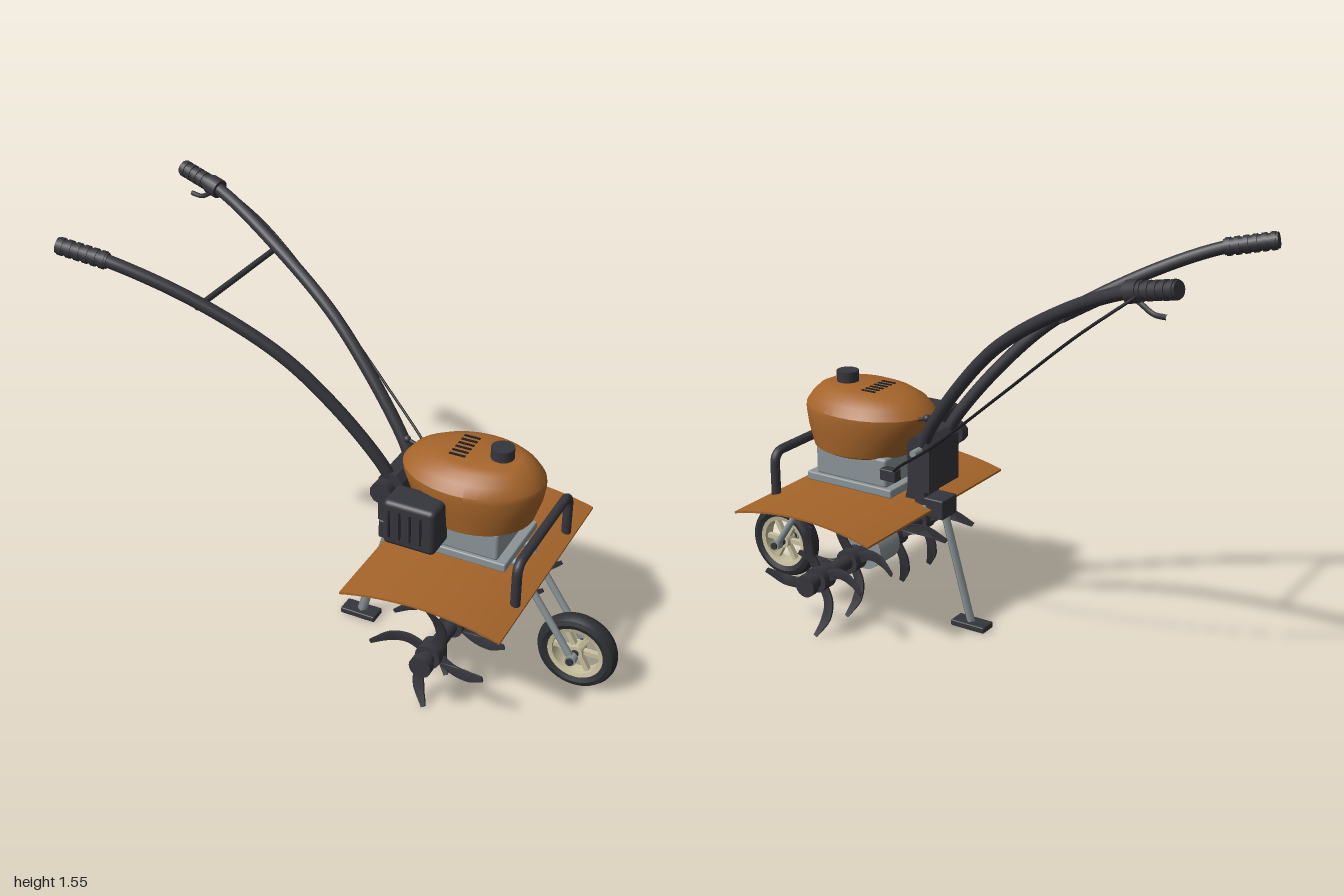
import * as THREE from 'three';
import { RoundedBoxGeometry } from 'three/addons/geometries/RoundedBoxGeometry.js';
import { toCreasedNormals } from 'three/addons/utils/BufferGeometryUtils.js';

const V = (x, y, z) => new THREE.Vector3(x, y, z);

export function createModel() {
  const model = new THREE.Group();
  model.name = 'gardenTiller';

  const mat = (name, color, side = THREE.FrontSide) => {
    const m = new THREE.MeshStandardMaterial({ color, side });
    m.name = name;
    return m;
  };
  const orange = mat('orangePaint', 0xa5642a, THREE.DoubleSide);
  const dark = mat('darkPlastic', 0x35353c);
  const black = mat('blackSlots', 0x1f1f23);
  const grey = mat('greyMetal', 0x8b9498);
  const rubber = mat('tyreRubber', 0x2e2f33);
  const cream = mat('creamRim', 0xc9c1a0);

  const add = (name, geo, m, x = 0, y = 0, z = 0, parent = model) => {
    const mesh = new THREE.Mesh(geo, m);
    mesh.name = name;
    mesh.position.set(x, y, z);
    parent.add(mesh);
    return mesh;
  };
  const box = (name, m, x0, x1, y0, y1, z0, z1, r = 0) => {
    const s = [x1 - x0, y1 - y0, z1 - z0];
    const geo = r ? new RoundedBoxGeometry(...s, 3, r) : new THREE.BoxGeometry(...s);
    return add(name, geo, m, (x0 + x1) / 2, (y0 + y1) / 2, (z0 + z1) / 2);
  };
  // Straight rod between two points
  const rod = (name, m, a, b, r, r2 = r, sides = 20) => {
    const mesh = add(name, new THREE.CylinderGeometry(r2, r, a.distanceTo(b), sides), m);
    mesh.position.copy(a).lerp(b, 0.5);
    mesh.quaternion.setFromUnitVectors(V(0, 1, 0), b.clone().sub(a).normalize());
    return mesh;
  };
  const tube = (name, m, pts, r, segs = 48, sides = 14) =>
    add(name, new THREE.TubeGeometry(new THREE.CatmullRomCurve3(pts), segs, r, sides), m);

  // Engine hood: stacked ellipses [y, centre x, x radius, z radius]
  const rings = [
    [0.645, 0.43, 0.19, 0.165], [0.655, 0.43, 0.21, 0.182], [0.73, 0.42, 0.245, 0.192],
    [0.79, 0.413, 0.262, 0.197], [0.81, 0.411, 0.262, 0.195], [0.845, 0.414, 0.235, 0.17],
    [0.872, 0.425, 0.195, 0.137], [0.885, 0.44, 0.15, 0.108],
  ];
  const n = 40, pos = [], idx = [];
  for (const [y, cx, rx, rz] of rings)
    for (let i = 0; i < n; i++) {
      const a = (i / n) * Math.PI * 2;
      pos.push(cx + rx * Math.cos(a), y, rz * Math.sin(a));
    }
  for (let j = 0; j < rings.length - 1; j++)
    for (let i = 0; i < n; i++) {
      const a = j * n + i, b = j * n + (i + 1) % n;
      idx.push(a, a + n, b, b, a + n, b + n);
    }
  const last = (rings.length - 1) * n;
  for (let i = 1; i < n - 1; i++) {
    idx.push(0, i, i + 1);
    idx.push(last, last + i + 1, last + i);
  }
  const hood = new THREE.BufferGeometry();
  hood.setAttribute('position', new THREE.Float32BufferAttribute(pos, 3));
  hood.setIndex(idx);
  add('hood', toCreasedNormals(hood, 0.5), orange);
  for (let i = 0; i < 6; i++) {
    const z = -0.07 + i * 0.026;
    box('hoodVent', black, 0.34, 0.4, 0.88, 0.888, z - 0.005, z + 0.005);
  }
  add('fuelCap', new THREE.CylinderGeometry(0.042, 0.042, 0.05, 28), dark, 0.515, 0.901, 0);

  // Engine block and base plate
  box('engineBlock', grey, 0.25, 0.57, 0.545, 0.66, -0.14, 0.14, 0.012);
  box('enginePlate', grey, 0.22, 0.605, 0.517, 0.55, -0.152, 0.152, 0.006);
  box('engineFoot', grey, 0.28, 0.56, 0.49, 0.52, -0.1, 0.1);

  // Air filter with slotted cover
  box('airFilter', dark, 0.19, 0.39, 0.595, 0.775, 0.155, 0.283, 0.02);
  box('airFilterNeck', dark, 0.24, 0.34, 0.63, 0.72, 0.12, 0.17);
  for (let i = 0; i < 4; i++)
    box('filterSlot', black, 0.215 + i * 0.04, 0.223 + i * 0.04, 0.63, 0.74, 0.28, 0.285);

  // Arched deck
  const deck = new THREE.BoxGeometry(0.606, 0.008, 0.9, 20, 1, 1);
  const dp = deck.attributes.position;
  for (let i = 0; i < dp.count; i++) dp.setY(i, dp.getY(i) - 0.45 * dp.getX(i) ** 2);
  deck.computeVertexNormals();
  add('deck', toCreasedNormals(deck, 0.6), orange, 0.412, 0.501, 0);

  // Front bumper hoop
  const hoop = new THREE.CurvePath();
  const x = 0.685, w = 0.243, t = 0.638, c = 0.05;
  hoop.add(new THREE.LineCurve3(V(x, 0.47, w), V(x, t - c, w)));
  hoop.add(new THREE.QuadraticBezierCurve3(V(x, t - c, w), V(x, t, w), V(x, t, w - c)));
  hoop.add(new THREE.LineCurve3(V(x, t, w - c), V(x, t, c - w)));
  hoop.add(new THREE.QuadraticBezierCurve3(V(x, t, c - w), V(x, t, -w), V(x, t - c, -w)));
  hoop.add(new THREE.LineCurve3(V(x, t - c, -w), V(x, 0.47, -w)));
  add('bumper', new THREE.TubeGeometry(hoop, 90, 0.018, 14), dark);

  // Front wheel
  const wheel = new THREE.Group();
  wheel.name = 'frontWheel';
  wheel.position.set(0.845, 0.155, 0);
  model.add(wheel);
  const lathe = (pts) =>
    toCreasedNormals(new THREE.LatheGeometry(pts.map(p => new THREE.Vector2(...p)), 48).rotateX(Math.PI / 2), 0.7);
  add('tyre', lathe([[0.104, -0.026], [0.125, -0.035], [0.142, -0.029], [0.15, -0.013], [0.152, 0],
    [0.15, 0.013], [0.142, 0.029], [0.125, 0.035], [0.104, 0.026], [0.104, -0.026]]), rubber, 0, 0, 0, wheel);
  add('rim', lathe([[0.09, -0.024], [0.106, -0.028], [0.106, 0.028], [0.09, 0.024], [0.09, -0.024]]), cream, 0, 0, 0, wheel);
  for (let i = 0; i < 6; i++) {
    const a = i * Math.PI / 3;
    add('spoke', new THREE.BoxGeometry(0.076, 0.018, 0.02), cream,
      0.058 * Math.cos(a), 0.058 * Math.sin(a), 0, wheel).rotation.z = a;
  }
  add('wheelHub', new THREE.CylinderGeometry(0.027, 0.027, 0.05, 24).rotateX(Math.PI / 2), cream, 0, 0, 0, wheel);
  rod('wheelAxle', dark, V(0.845, 0.155, -0.087), V(0.845, 0.155, 0.087), 0.014);
  for (const s of [-1, 1]) {
    rod('forkRail', grey, V(0.45, 0.507, s * 0.06), V(0.64, 0.507, s * 0.06), 0.014);
    rod('forkArm', grey, V(0.615, 0.5, s * 0.06), V(0.845, 0.155, s * 0.06), 0.013);
    rod('forkEnd', grey, V(0.845, 0.155, s * 0.048), V(0.845, 0.155, s * 0.078), 0.02);
  }

  // Transmission leg and gear case
  const leg = new THREE.CylinderGeometry(0.058, 0.052, 0.3, 28);
  leg.scale(1, 1, 1.3);
  add('transmissionLeg', leg, grey, 0.412, 0.35, 0);
  add('gearCase', new THREE.CylinderGeometry(0.078, 0.078, 0.13, 28).rotateX(Math.PI / 2), grey, 0.412, 0.235, 0);

  // Tine shaft, hubs and curved tines
  const hx = 0.415, hy = 0.225;
  rod('tineShaft', dark, V(hx, hy, -0.43), V(hx, hy, 0.43), 0.028);
  const spine = new THREE.CatmullRomCurve3([V(0.012, 0.03, 0), V(0.04, 0.09, 0), V(0.036, 0.15, 0), V(0.004, 0.218, 0)]);
  const tineShape = () => {
    const left = [], right = [];
    for (let i = 0; i <= 12; i++) {
      const p = spine.getPoint(i / 12), d = spine.getTangent(i / 12);
      const h = i < 8 ? 0.02 : 0.02 - (i - 8) * 0.003;
      left.push(new THREE.Vector2(p.x - d.y * h, p.y + d.x * h));
      right.unshift(new THREE.Vector2(p.x + d.y * h, p.y - d.x * h));
    }
    return new THREE.Shape([...left, ...right]);
  };
  const tineGeo = (side) => {
    const g = new THREE.ExtrudeGeometry(tineShape(), { depth: 0.008, bevelEnabled: false });
    const p = g.attributes.position;
    for (let i = 0; i < p.count; i++) {
      const r = Math.max(0, Math.hypot(p.getX(i), p.getY(i)) - 0.03);
      p.setZ(i, p.getZ(i) - 0.004 + side * 1.3 * r * r);
    }
    g.computeVertexNormals();
    return toCreasedNormals(g, 0.6);
  };
  for (const s of [-1, 1]) {
    const geo = tineGeo(s);
    rod('shaftEnd', dark, V(hx, hy, s * 0.4), V(hx, hy, s * 0.43), 0.042);
    for (const z of [0.14, 0.335]) {
      rod('tineHub', dark, V(hx, hy, s * (z - 0.033)), V(hx, hy, s * (z + 0.033)), 0.048, 0.048, 16);
      for (let i = 0; i < 4; i++) add('tine', geo, dark, hx, hy, s * z).rotation.z = i * Math.PI / 2;
    }
  }

  // Rear prop stand and bracket
  rod('propLeg', grey, V(-0.035, 0.02, 0), V(0.085, 0.45, 0), 0.019, 0.019, 4);
  box('propFoot', dark, -0.11, 0.035, 0.004, 0.028, -0.035, 0.035, 0.005);
  box('rearBracket', dark, 0.06, 0.185, 0.43, 0.506, -0.05, 0.05, 0.006);
  rod('bracketPin', grey, V(0.14, 0.465, -0.058), V(0.14, 0.465, 0.058), 0.012);

  // Handle mount
  const mount = new THREE.Shape([[0.085, 0.55], [0.18, 0.55], [0.18, 0.73], [0.155, 0.757], [0.11, 0.757], [0.085, 0.73]]
    .map(p => new THREE.Vector2(...p)));
  add('handleMount', new THREE.ExtrudeGeometry(mount, { depth: 0.2, bevelEnabled: false }), dark, 0, 0, -0.1);
  const strut = new THREE.Shape([[0.14, 0.62], [0.14, 0.49], [0.225, 0.49], [0.195, 0.62]].map(p => new THREE.Vector2(...p)));
  add('mountStrut', new THREE.ExtrudeGeometry(strut, { depth: 0.1, bevelEnabled: false }), dark, 0, 0, -0.05);
  rod('clampBolt', grey, V(0.125, 0.71, -0.145), V(0.125, 0.71, 0.14), 0.014);
  rod('clampKnob', dark, V(0.125, 0.71, 0.125), V(0.125, 0.71, 0.165), 0.043, 0.043, 10);

  // Curved handlebars with ribbed grips
  for (const s of [-1, 1]) {
    tube('handlebar', dark, [V(0.135, 0.7, s * 0.075), V(0.09, 0.79, s * 0.09), V(-0.07, 1.0, s * 0.133),
      V(-0.255, 1.185, s * 0.185), V(-0.53, 1.36, s * 0.265), V(-0.8, 1.482, s * 0.35), V(-0.98, 1.525, s * 0.39)], 0.023, 60);
    const a = V(-0.82, 1.489, s * 0.356), b = V(-0.998, 1.527, s * 0.394);
    rod('grip', dark, a, b, 0.028);
    for (let i = 0; i < 6; i++) {
      const p = a.clone().lerp(b, 0.04 + i * 0.165), q = a.clone().lerp(b, 0.13 + i * 0.165);
      rod('gripRib', dark, p, q, 0.032);
    }
  }
  rod('crossbar', dark, V(-0.535, 1.335, -0.26), V(-0.535, 1.335, 0.26), 0.011);

  // Throttle lever, cable and cable box
  rod('leverClamp', dark, V(-0.815, 1.487, -0.355), V(-0.86, 1.498, -0.364), 0.037);
  tube('throttleLever', dark, [V(-0.83, 1.48, -0.365), V(-0.872, 1.455, -0.37), V(-0.91, 1.435, -0.375), V(-0.96, 1.434, -0.385)], 0.009, 20, 8);
  tube('throttleCable', black, [V(-0.84, 1.48, -0.365), V(-0.86, 1.488, -0.395), V(-0.69, 1.35, -0.445), V(-0.4, 1.1, -0.41),
    V(-0.08, 0.835, -0.315), V(0.14, 0.68, -0.21), V(0.21, 0.625, -0.15)], 0.005, 70, 8);
  box('cableBox', dark, 0.19, 0.26, 0.59, 0.635, -0.165, -0.125, 0.005);

  // Choke lever behind the hood
  rod('chokeLever', dark, V(0.125, 0.82, -0.05), V(0.2, 0.795, -0.05), 0.007);
  add('chokeKnob', new THREE.SphereGeometry(0.014, 16, 12), dark, 0.125, 0.82, -0.05);

  return model;
}
